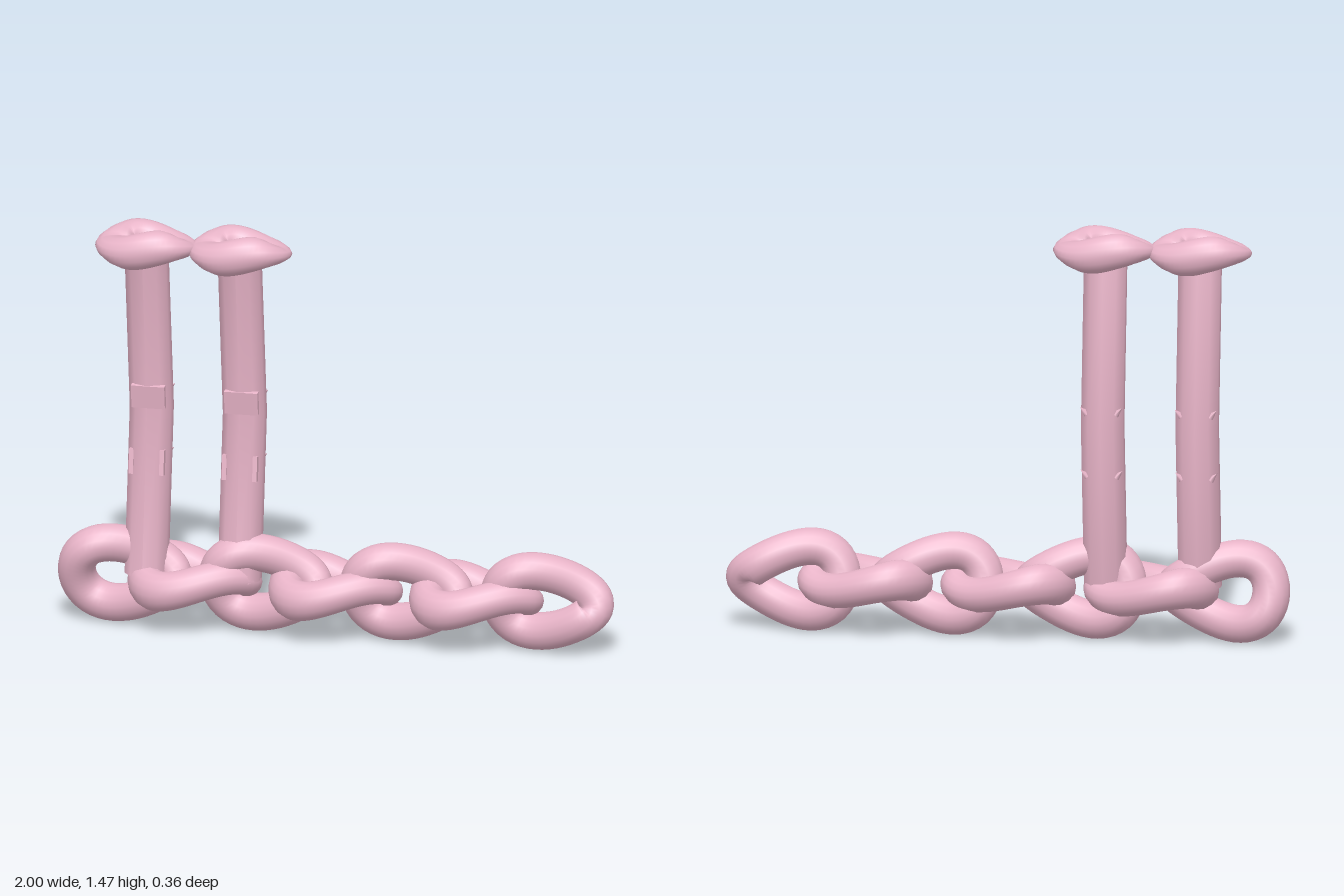
import * as THREE from 'three';

const material = new THREE.MeshStandardMaterial({ color: 0xe8b4c8, side: THREE.DoubleSide });

// Closed ring in the xz plane: oval path, swept oval section, edges twisted up and down.
function twistedRing({ a, b, skew, width, height, twist }) {
  const N = 48, M = 16, pos = [], idx = [];
  const path = (t) => new THREE.Vector3(
    a * Math.cos(t), twist * Math.sin(2 * t), b * Math.sin(t) * (1 - skew * Math.cos(t)));
  for (let i = 0; i < N; i++) {
    const t = (i / N) * Math.PI * 2;
    const c = path(t), d = path(t + 0.01).sub(path(t - 0.01));
    const n = new THREE.Vector3(d.z, 0, -d.x).normalize();
    for (let j = 0; j < M; j++) {
      const s = (j / M) * Math.PI * 2;
      const r = width(t) * Math.cos(s);
      pos.push(c.x + n.x * r, c.y + height(t) * Math.sin(s), c.z + n.z * r);
      const i2 = (i + 1) % N, j2 = (j + 1) % M;
      const p = i * M + j, q = i * M + j2, u = i2 * M + j, v = i2 * M + j2;
      idx.push(p, q, u, q, v, u);
    }
  }
  const g = new THREE.BufferGeometry();
  g.setAttribute('position', new THREE.Float32BufferAttribute(pos, 3));
  g.setIndex(idx);
  g.computeVertexNormals();
  return g;
}

function add(parent, name, geometry, x = 0, y = 0, z = 0) {
  const mesh = new THREE.Mesh(geometry, material);
  mesh.name = name;
  mesh.position.set(x, y, z);
  parent.add(mesh);
  return mesh;
}

// Depth of the bent post's centre line at a height
const MID = 0.79, HALF = 0.59;
const bend = (y) => -0.075 + 0.085 * Math.abs(y - MID) / HALF;

export function createModel() {
  const model = new THREE.Group();
  model.name = 'chainWithPosts';

  // Chain of seven links, alternately upright and flat
  const chain = new THREE.Group();
  chain.name = 'chain';
  model.add(chain);
  const linkGeo = twistedRing({
    a: 0.173, b: 0.107, skew: 0.4, twist: 0.026,
    width: () => 0.067,
    height: (t) => 0.067 - 0.008 * Math.cos(t),
  });
  for (let i = 0; i < 7; i++) {
    const upright = i % 2 === 0;
    const link = add(chain, upright ? 'uprightLink' : 'flatLink', linkGeo, -0.76 + i * 0.2533, 0.187, 0);
    if (upright) link.rotation.x = -Math.PI / 2;
  }

  // Post bent backwards at mid height
  const postGeo = new THREE.CylinderGeometry(0.078, 0.078, HALF * 2, 10, 2);
  const p = postGeo.attributes.position;
  for (let i = 0; i < p.count; i++) p.setZ(i, p.getZ(i) + bend(p.getY(i) + MID));
  postGeo.computeVertexNormals();

  // Oval cap, thick along its sides and thin at its ends
  const capGeo = twistedRing({
    a: 0.105, b: 0.069, skew: 0.05, twist: 0.012,
    width: (t) => 0.056 + 0.024 * Math.cos(t) ** 2,
    height: (t) => 0.03 + 0.037 * Math.abs(Math.sin(t)),
  });
  const plateGeo = new THREE.BoxGeometry(0.12, 0.085, 0.02);
  const bracketGeo = new THREE.BoxGeometry(0.016, 0.09, 0.03);
  const barbGeo = new THREE.ConeGeometry(0.014, 0.035, 4);

  for (const x of [-0.68, -0.345]) {
    const post = new THREE.Group();
    post.name = 'post';
    post.position.x = x;
    model.add(post);
    add(post, 'shaft', postGeo, 0, MID, 0);
    add(post, 'cap', capGeo, 0, 1.405, 0);
    add(post, 'frontPlate', plateGeo, 0.005, 0.847, bend(0.847) + 0.07).rotation.x = 0.14;
    for (const s of [-1, 1]) {
      add(post, 'bracket', bracketGeo, s * 0.055, 0.605, bend(0.605) + 0.05).rotation.x = -0.14;
      // Small barbs on the rear quarters
      for (const y of [0.62, 0.85]) {
        const barb = add(post, 'barb', barbGeo, s * 0.062, y, bend(y) - 0.05);
        barb.rotation.z = -s * 0.8;
      }
    }
  }
  return model;
}
